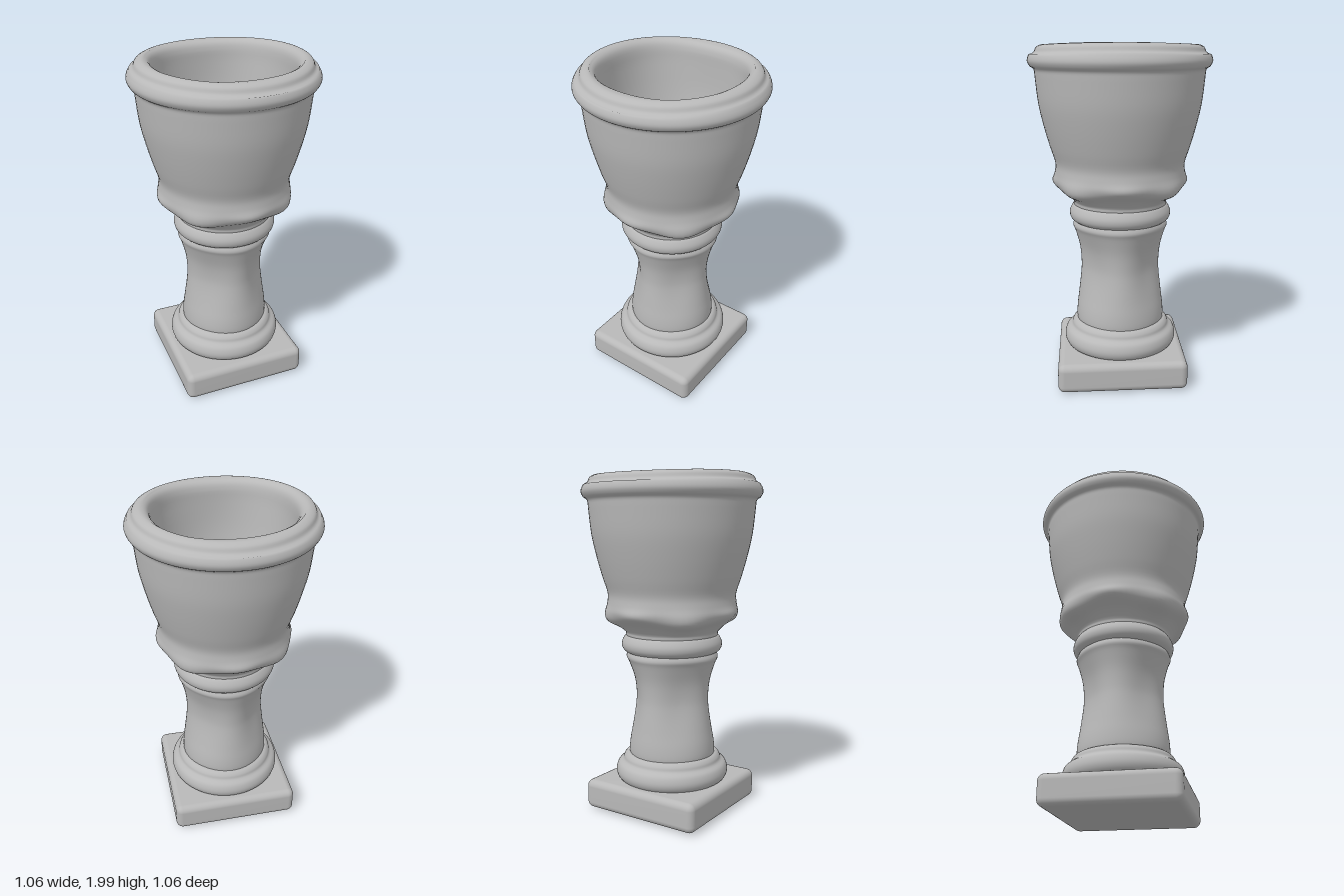
import * as THREE from 'three';
import { mergeVertices } from 'three/addons/utils/BufferGeometryUtils.js';
import { RoundedBoxGeometry } from 'three/addons/geometries/RoundedBoxGeometry.js';

const stone = new THREE.MeshStandardMaterial({ color: 0xb8b8b8 });
stone.name = 'grey stone';

// Moves every vertex by a rule, then welds seams so the normals stay smooth
function sculpt(geometry, rule) {
  const p = geometry.attributes.position;
  const v = new THREE.Vector3();
  for (let i = 0; i < p.count; i++) {
    v.fromBufferAttribute(p, i);
    rule(v);
    p.setXYZ(i, v.x, v.y, v.z);
  }
  geometry.deleteAttribute('uv');
  geometry.deleteAttribute('normal');
  const welded = mergeVertices(geometry, 1e-4);
  welded.computeVertexNormals();
  return welded;
}

// Smooth turned part from a [radius, height] profile; swell(angle, y, r) returns a radius offset
function turned(name, profile, swell = () => 0, lift = () => 0) {
  const curve = new THREE.SplineCurve(profile.map(([r, y]) => new THREE.Vector2(r, y)));
  const points = curve.getPoints((profile.length - 1) * 4);
  points.forEach((q) => { q.x = Math.max(q.x, 0); });
  const geometry = sculpt(new THREE.LatheGeometry(points, 72), (v) => {
    const r = Math.hypot(v.x, v.z);
    if (r < 1e-4) return;
    const a = Math.atan2(v.x, v.z);
    const k = (r + swell(a, v.y, r)) / r;
    v.set(v.x * k, v.y + lift(a, v.y, r), v.z * k);
  });
  const mesh = new THREE.Mesh(geometry, stone);
  mesh.name = name;
  return mesh;
}

const bump = (y, centre, width) => Math.exp(-(((y - centre) / width) ** 2));

export function createModel() {
  const model = new THREE.Group();
  model.name = 'stone goblet';

  // Worn square plinth
  const plinthGeometry = sculpt(new RoundedBoxGeometry(0.76, 0.18, 0.76, 5, 0.04), (v) => {
    v.y += 0.1;
    if (v.y > 0.1) v.y -= 0.006 * Math.cos(v.x * 9) * Math.cos(v.z * 9);
    v.y += 0.004 * Math.sin(v.x * 8 + v.z * 5);
  });
  const plinth = new THREE.Mesh(plinthGeometry, stone);
  plinth.name = 'plinth';
  model.add(plinth);

  // Round stepped foot
  model.add(turned('foot', [
    [0.28, 0.17], [0.325, 0.19], [0.342, 0.23], [0.33, 0.275],
    [0.3, 0.3], [0.29, 0.325], [0.265, 0.345], [0.2, 0.35],
  ]));

  // Waisted shaft, slightly ridged on the four axes
  model.add(turned('shaft', [
    [0.25, 0.3], [0.262, 0.35], [0.258, 0.42], [0.243, 0.51], [0.226, 0.62],
    [0.221, 0.7], [0.232, 0.8], [0.262, 0.9], [0.278, 0.94], [0.262, 0.98], [0.25, 1.02],
  ], (a, y) => 0.014 * Math.cos(4 * a) * bump(y, 0.67, 0.25)));

  // Collar ring
  model.add(turned('collar', [
    [0.24, 0.955], [0.275, 0.968], [0.296, 0.99], [0.301, 1.02],
    [0.29, 1.05], [0.272, 1.07], [0.23, 1.08],
  ]));

  // Hollow bowl with a lumpy lower swell and a rolled rim
  model.add(turned('bowl', [
    [0, 1.05], [0.25, 1.055], [0.278, 1.09], [0.32, 1.13], [0.378, 1.17], [0.395, 1.21],
    [0.385, 1.26], [0.382, 1.32], [0.41, 1.41], [0.443, 1.53], [0.471, 1.66], [0.486, 1.8],
    [0.492, 1.85], [0.515, 1.87], [0.528, 1.9], [0.516, 1.935], [0.49, 1.952],
    [0.475, 1.98], [0.44, 1.994], [0.405, 1.98], [0.388, 1.94], [0.383, 1.85],
    [0.365, 1.66], [0.325, 1.45], [0.27, 1.34], [0.2, 1.3], [0, 1.3],
  ], (a, y, r) => {
    const inner = r < 0.43 && y > 1.43 && (y > 1.9 || r < 0.4) ? 1 : 0;
    const opening = inner * (-0.008 * Math.cos(4 * a) - 0.007 * Math.cos(2 * a)) * bump(y, 1.97, 0.2);
    const lumps = y < 1.3 && r > 0.26 ? 0.008 * Math.cos(8 * a) * bump(y, 1.18, 0.05) : 0;
    return opening + lumps;
  }, (a, y, r) => {
    const rim = y > 1.94 ? -0.006 * Math.cos(2 * a) : 0;
    const hem = r > 0.28 && y < 1.3 ? 0.014 * Math.cos(4 * a) * bump(y, 1.17, 0.05) : 0;
    return rim + hem;
  }));

  return model;
}
